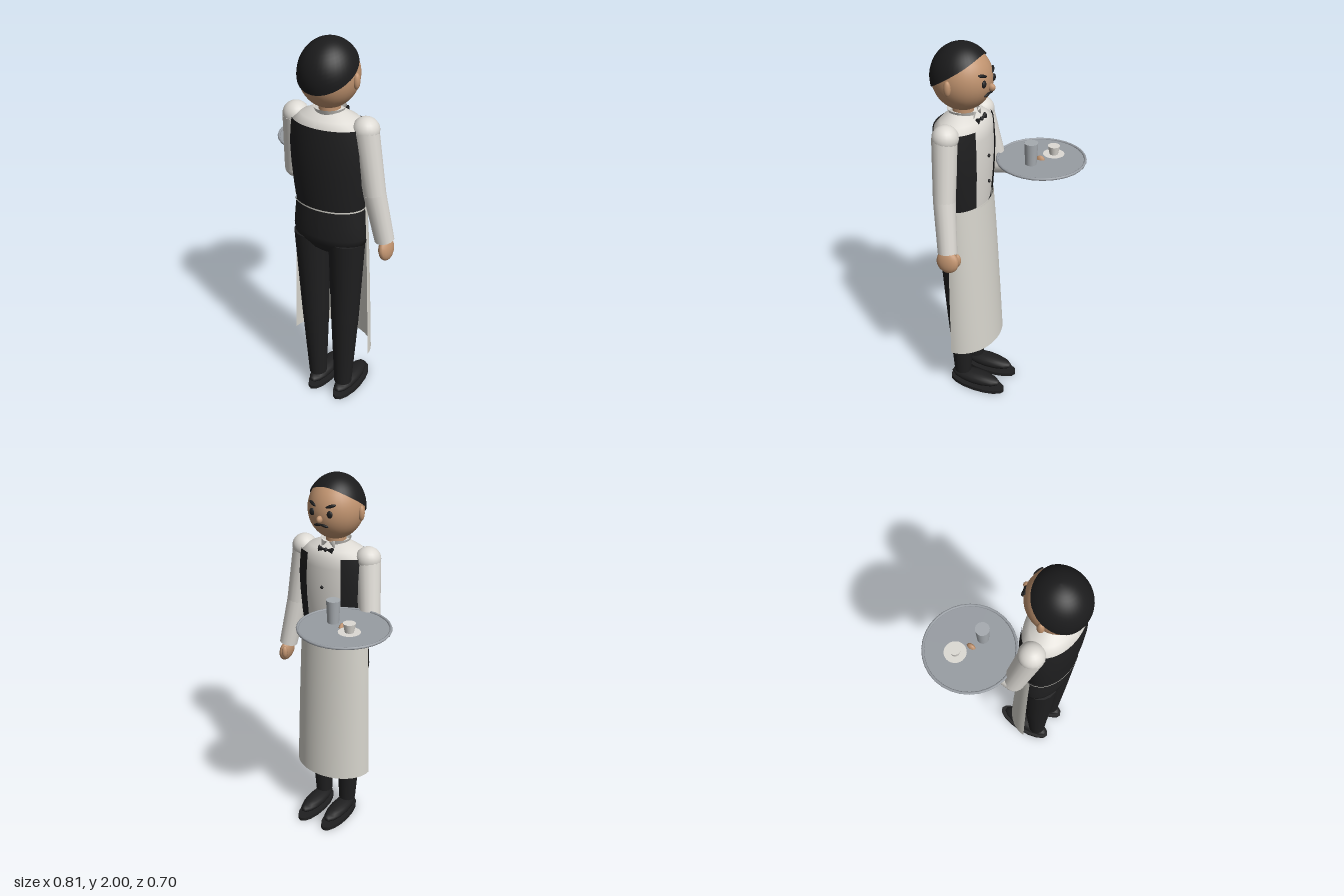
import * as THREE from 'three';

const mat = (name, color, side = THREE.FrontSide) => {
  const m = new THREE.MeshStandardMaterial({ color, side });
  m.name = name;
  return m;
};

export function createModel() {
  const root = new THREE.Group();
  root.name = 'waiter';
  const DS = THREE.DoubleSide;
  const black = mat('black cloth', 0x1f1f20, DS);
  const hairMat = mat('black hair', 0x1b1b1c, DS);
  const skin = mat('skin', 0xc0936f);
  const white = mat('white shirt', 0xdddad4, DS);
  const apronMat = mat('apron linen', 0xd6d4cc, DS);
  const metal = mat('tray metal', 0x989da3);
  const glassMat = mat('glass', 0xa6abb0);

  // The body axis stands off centre because of the tray.
  const body = new THREE.Group();
  body.name = 'body';
  body.position.set(0.07, 0, 0.195);
  root.add(body);

  const add = (name, geo, m, p = [0, 0, 0], parent = body) => {
    const mesh = new THREE.Mesh(geo, m);
    mesh.name = name;
    mesh.position.set(...p);
    parent.add(mesh);
    return mesh;
  };
  const ball = (name, r, m, p, seg = 20) => {
    const mesh = add(name, new THREE.SphereGeometry(1, seg, Math.ceil(seg * 0.7)), m, p);
    mesh.scale.set(...r);
    return mesh;
  };
  const limb = (name, a, b, ra, rb, m) => {
    const A = new THREE.Vector3(...a), B = new THREE.Vector3(...b), d = B.clone().sub(A);
    const mesh = add(name, new THREE.CylinderGeometry(rb, ra, d.length(), 16), m,
      A.clone().add(B).multiplyScalar(0.5).toArray());
    mesh.quaternion.setFromUnitVectors(new THREE.Vector3(0, 1, 0), d.normalize());
    return mesh;
  };
  // Oval body shell from [radius, height] pairs; depth ratio runs from bottom to top.
  const shell = (name, pts, m, depth, start = 0, length = Math.PI * 2, depthTop = depth) => {
    const geo = new THREE.LatheGeometry(pts.map(([r, y]) => new THREE.Vector2(r, y)), 36, start, length);
    const pos = geo.attributes.position, y0 = pts[0][1], y1 = pts[pts.length - 1][1];
    for (let i = 0; i < pos.count; i++) {
      const t = (pos.getY(i) - y0) / (y1 - y0);
      pos.setZ(i, pos.getZ(i) * THREE.MathUtils.lerp(depth, depthTop, t));
    }
    geo.computeVertexNormals();
    return add(name, geo, m);
  };

  // Torso
  shell('shirt', [[0.17, 1.18], [0.187, 1.3], [0.199, 1.44], [0.196, 1.55], [0.19, 1.605],
    [0.15, 1.635], [0.085, 1.665], [0.045, 1.672]], white, 0.66);
  shell('vest', [[0.182, 1.19], [0.192, 1.26], [0.203, 1.38], [0.207, 1.48], [0.2, 1.57], [0.195, 1.61]],
    black, 0.665, -(Math.PI - 0.52), 2 * Math.PI - 1.04);
  shell('waistband', [[0.191, 1.188], [0.191, 1.196]], apronMat, 0.67);
  shell('trouserSeat', [[0.001, 0.91], [0.08, 0.915], [0.14, 0.945], [0.195, 0.995], [0.2, 1.03],
    [0.194, 1.1], [0.183, 1.192]], black, 0.58);
  shell('apron', [[0.226, 0.32], [0.222, 0.5], [0.213, 0.8], [0.206, 1.0], [0.195, 1.2]],
    apronMat, 0.77, Math.PI / 2, Math.PI, 0.65);
  for (const y of [1.31, 1.45]) ball('shirtButton', [0.009, 0.009, 0.007], black, [0, y, -0.134], 10);

  // Legs and shoes
  for (const s of [-1, 1]) {
    limb('thigh', [s * 0.1, 1.0, 0.01], [s * 0.09, 0.52, 0.008], 0.093, 0.073, black);
    limb('shin', [s * 0.09, 0.52, 0.008], [s * 0.08, 0.085, 0.01], 0.073, 0.048, black);
    ball('shoeUpper', [0.053, 0.036, 0.15], black, [s * 0.08, 0.052, -0.07], 14);
    const sole = add('shoeSole', new THREE.CylinderGeometry(1, 1, 0.02, 16), black, [s * 0.08, 0.01, -0.08]);
    sole.scale.set(0.062, 1, 0.168);
  }

  // Neck, collar and bow tie
  add('neck', new THREE.CylinderGeometry(0.05, 0.053, 0.1, 20), skin, [0, 1.69, 0]);
  add('collar', new THREE.CylinderGeometry(0.078, 0.066, 0.026, 24, 1, true, -(Math.PI - 0.3), 2 * Math.PI - 0.6),
    white, [0, 1.668, 0]);
  for (const s of [-1, 1]) {
    const tip = add('collarTip', new THREE.ConeGeometry(0.018, 0.045, 4), white, [s * 0.032, 1.658, -0.075]);
    tip.rotation.set(0, 0, Math.PI + s * 0.4);
    tip.scale.z = 0.4;
    const bow = add('bowTieWing', new THREE.ConeGeometry(0.018, 0.042, 10), black, [s * 0.02, 1.638, -0.096]);
    bow.rotation.z = s * Math.PI / 2;
    bow.scale.z = 0.6;
  }
  ball('bowTieKnot', [0.01, 0.011, 0.01], black, [0, 1.638, -0.098], 10);

  // Head
  const HY = 1.832, R = [0.14, 0.156, 0.149];
  ball('head', R, skin, [0, HY, 0], 32);
  const faceZ = (x, y) => -R[2] * Math.sqrt(1 - (x / R[0]) ** 2 - ((y - HY) / R[1]) ** 2);
  ball('nose', [0.015, 0.019, 0.02], skin, [0, 1.806, -0.152], 12);
  for (const s of [-1, 1]) {
    ball('ear', [0.016, 0.038, 0.018], skin, [s * 0.142, 1.822, 0.003], 14);
    ball('eye', [0.016, 0.018, 0.009], black, [s * 0.05, 1.835, faceZ(0.05, 1.835)], 12);
    const brow = ball('eyebrow', [0.027, 0.008, 0.009], hairMat, [s * 0.052, 1.874, faceZ(0.052, 1.874)], 12);
    brow.rotation.set(0, s * -0.4, s * 0.3);
    const tache = ball('moustache', [0.023, 0.007, 0.008], hairMat, [s * 0.019, 1.775, faceZ(0.02, 1.775) - 0.002], 12);
    tache.rotation.set(0, s * -0.15, s * -0.2);
  }

  // Hair cap: its lower edge is high on the forehead and low at the nape.
  const hair = new THREE.SphereGeometry(1, 40, 14, 0, Math.PI * 2, 0, 1);
  const hp = hair.attributes.position, uv = hair.attributes.uv;
  for (let i = 0; i < hp.count; i++) {
    const a = uv.getX(i) * Math.PI * 2;
    const edge = THREE.MathUtils.degToRad(77 - 33 * Math.cos(a));
    const t = (1 - uv.getY(i)) * edge;
    hp.setXYZ(i, 0.146 * Math.sin(t) * Math.sin(a), 0.168 * Math.cos(t), -0.155 * Math.sin(t) * Math.cos(a));
  }
  // Turn faces outwards whichever way the azimuth runs.
  const ix = hair.index.array, v = [0, 1, 2].map(() => new THREE.Vector3());
  for (let i = 0; i < ix.length; i += 3) {
    v.forEach((q, k) => q.fromBufferAttribute(hp, ix[i + k]));
    const n = v[1].clone().sub(v[0]).cross(v[2].clone().sub(v[0]));
    if (n.dot(v[0]) < 0) [ix[i + 1], ix[i + 2]] = [ix[i + 2], ix[i + 1]];
  }
  hair.computeVertexNormals();
  add('hair', hair, hairMat, [0, HY, 0]);

  // Lowered arm
  const sh = 0.19;
  for (const s of [-1, 1]) ball('shoulder', [0.065, 0.062, 0.065], white, [s * sh, 1.6, -0.003]);
  limb('loweredUpperArm', [sh, 1.6, 0], [0.238, 1.29, -0.01], 0.063, 0.055, white);
  ball('loweredElbow', [0.055, 0.055, 0.055], white, [0.238, 1.29, -0.01], 16);
  limb('loweredForearm', [0.238, 1.29, -0.01], [0.283, 1.03, -0.04], 0.055, 0.049, white);
  const hand = ball('loweredHand', [0.03, 0.06, 0.06], skin, [0.293, 0.98, -0.043], 16);
  hand.rotation.z = 0.15;
  ball('loweredThumb', [0.016, 0.035, 0.018], skin, [0.275, 0.99, -0.09], 10);

  // Raised arm
  const elbow = [-0.24, 1.285, -0.06], wrist = [-0.242, 1.31, -0.27];
  limb('raisedUpperArm', [-sh, 1.6, 0], elbow, 0.063, 0.055, white);
  ball('raisedElbow', [0.055, 0.055, 0.055], white, elbow, 16);
  limb('raisedForearm', elbow, wrist, 0.055, 0.042, white);
  ball('raisedHand', [0.045, 0.045, 0.062], skin, [-0.242, 1.308, -0.315], 16);
  ball('raisedThumb', [0.015, 0.03, 0.026], skin, [-0.232, 1.35, -0.31], 10);

  // Tray and drinks
  const tray = new THREE.Group();
  tray.name = 'servingTray';
  tray.position.set(-0.173, 1.353, -0.115);
  root.add(tray);
  add('trayPlate', new THREE.CylinderGeometry(0.226, 0.222, 0.008, 32), metal, [0, 0.003, 0], tray);
  const rim = add('trayRim', new THREE.TorusGeometry(0.224, 0.007, 8, 32), metal, [0, 0.007, 0], tray);
  rim.rotation.x = Math.PI / 2;
  add('saucer', new THREE.CylinderGeometry(0.055, 0.035, 0.01, 24), white, [-0.057, 0.012, -0.045], tray);
  add('cup', new THREE.CylinderGeometry(0.031, 0.022, 0.046, 20), white, [-0.057, 0.039, -0.045], tray);
  add('drinkingGlass', new THREE.CylinderGeometry(0.035, 0.029, 0.116, 20), glassMat, [0.077, 0.065, 0.024], tray);

  return root;
}
